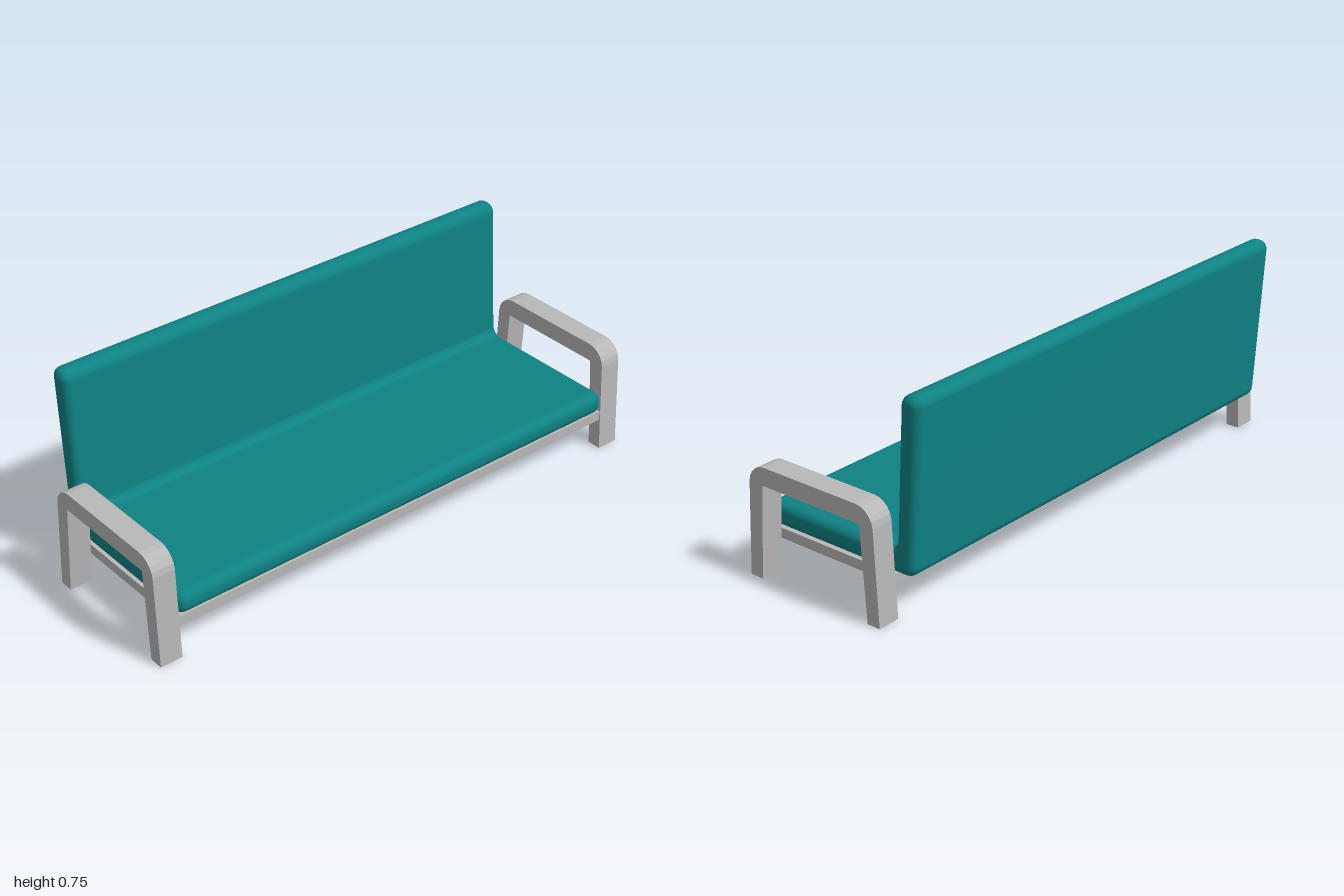
import * as THREE from 'three';
import { mergeVertices } from 'three/addons/utils/BufferGeometryUtils.js';

// Closed outline from [x, y, radius] corners
function roundedShape(corners) {
  const shape = new THREE.Shape();
  const n = corners.length;
  corners.forEach(([x, y, r], i) => {
    const p = new THREE.Vector2(x, y);
    const toward = (c, d) => new THREE.Vector2(c[0], c[1]).sub(p).setLength(d).add(p);
    const prev = corners[(i + n - 1) % n], next = corners[(i + 1) % n];
    const a = r ? toward(prev, r) : p;
    if (i === 0) shape.moveTo(a.x, a.y);
    else shape.lineTo(a.x, a.y);
    if (r) {
      const b = toward(next, r), c1 = toward(prev, r * 0.45), c2 = toward(next, r * 0.45);
      shape.bezierCurveTo(c1.x, c1.y, c2.x, c2.y, b.x, b.y);
    }
  });
  shape.closePath();
  return shape;
}

export function createModel() {
  const model = new THREE.Group();
  model.name = 'sofa';
  const fabric = new THREE.MeshStandardMaterial({ color: 0x0e8284 });
  fabric.name = 'teal fabric';
  const frame = new THREE.MeshStandardMaterial({ color: 0xb8b8b8 });
  frame.name = 'grey frame';

  const add = (name, geometry, material) => {
    const mesh = new THREE.Mesh(geometry, material);
    mesh.name = name;
    model.add(mesh);
    return mesh;
  };

  // Seat and backrest: one L-shaped cushion with soft edges
  const bevel = 0.028, halfLength = 0.917;
  const profile = roundedShape([
    [-0.293, 0.15, 0.036],
    [0.328, 0.15, 0.034],
    [0.328, 0.232, 0.034],
    [-0.221, 0.232, 0.03],
    [-0.253, 0.752, 0.035],
    [-0.331, 0.752, 0.035],
  ]);
  let cushion = new THREE.ExtrudeGeometry(profile, {
    depth: 2 * (halfLength - bevel), curveSegments: 6,
    bevelThickness: bevel, bevelSize: bevel, bevelOffset: -bevel, bevelSegments: 5,
  });
  cushion.translate(0, 0, bevel - halfLength);
  cushion.deleteAttribute('uv');
  cushion.deleteAttribute('normal');
  cushion = mergeVertices(cushion, 1e-5);
  cushion.computeVertexNormals();
  add('seatAndBackrest', cushion, fabric);

  // Flat board under the seat
  const board = new THREE.BoxGeometry(0.54, 0.036, 1.836);
  add('seatBoard', board, frame).position.set(0.048, 0.133, 0);

  // Arm frames: two splayed legs joined by an armrest
  const armShape = roundedShape([
    [-0.229, 0, 0],
    [-0.179, 0, 0],
    [-0.157, 0.332, 0],
    [0.255, 0.332, 0],
    [0.277, 0, 0],
    [0.328, 0, 0],
    [0.309, 0.396, 0.064],
    [-0.21, 0.396, 0.064],
  ]);
  const thickness = 0.082;
  const arm = new THREE.ExtrudeGeometry(armShape, { depth: thickness, curveSegments: 5, bevelEnabled: false });
  add('leftArmFrame', arm, frame).position.z = -1;
  add('rightArmFrame', arm, frame).position.z = 1 - thickness;

  return model;
}
